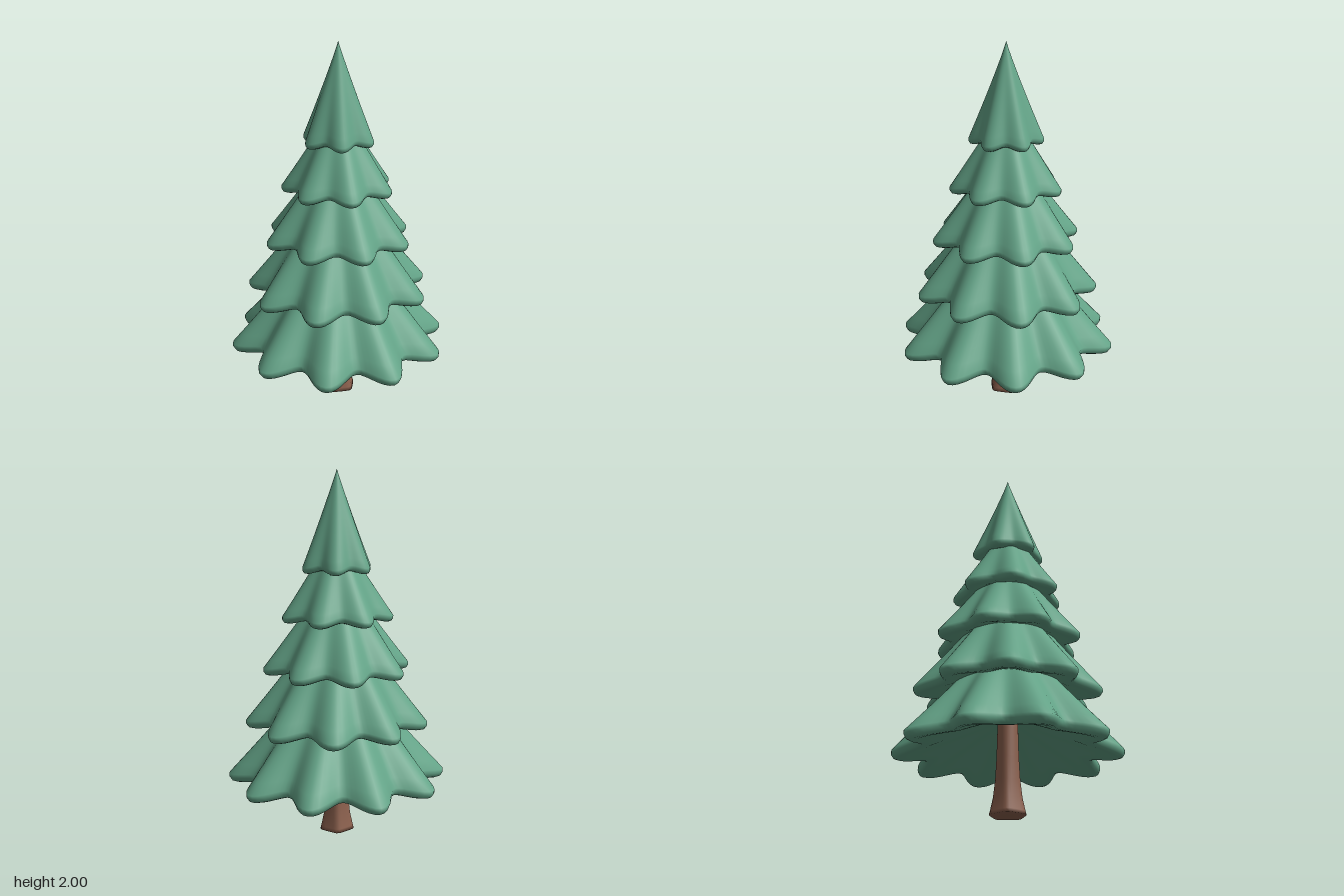
import * as THREE from 'three';

const needles = new THREE.MeshStandardMaterial({ color: 0x64a488 });
needles.name = 'needle green';
const bark = new THREE.MeshStandardMaterial({ color: 0x8c614e });
bark.name = 'bark brown';

// Smooth closed skin through rings listed from top to bottom; point(ring, angle) gives [radius, y]
function loft(rings, segments, point) {
  const pos = [], idx = [];
  rings.forEach((ring, i) => {
    for (let j = 0; j < segments; j++) {
      const a = (j / segments) * Math.PI * 2;
      const [r, y] = point(ring, a);
      pos.push(r * Math.cos(a), y, r * Math.sin(a));
      if (i === rings.length - 1) continue;
      const k = (j + 1) % segments, p = i * segments, q = p + segments;
      idx.push(p + j, p + k, q + j, p + k, q + k, q + j);
    }
  });
  const g = new THREE.BufferGeometry();
  g.setAttribute('position', new THREE.Float32BufferAttribute(pos, 3));
  g.setIndex(idx);
  g.computeVertexNormals();
  return g;
}

// One skirt of branches: a scalloped cone with a rounded lip and a hollow underside
function makeTier({ lobes, radius, hem, top, lip }) {
  const rings = [];
  const edgeY = hem + lip * 0.9;
  // outer slope, flaring a little towards the hem, with ridges that fade upwards
  for (let i = 0; i <= 12; i++) {
    const u = i / 12;
    rings.push({ r: radius * Math.pow(u, 1.09), y: top + (edgeY - top) * u, wave: Math.pow(u, 1.3) });
  }
  // rounded lip
  rings.push({ r: radius, y: hem + lip * 0.5, wave: 1 });
  rings.push({ r: radius - lip * 0.25, y: hem + lip * 0.12, wave: 1 });
  rings.push({ r: radius - lip * 0.7, y: hem, wave: 1 });
  rings.push({ r: radius - lip * 1.4, y: hem + lip * 0.15, wave: 1 });
  // hollow underside
  const innerR = radius - lip * 1.4, rise = radius * 0.34;
  for (const u of [0.85, 0.65, 0.45, 0.25, 0.1, 0]) {
    rings.push({ r: innerR * u, y: hem + lip * 0.15 + rise * (1 - u), wave: u * u });
  }
  return loft(rings, lobes * 14, (ring, a) => {
    const valley = 0.5 - 0.5 * Math.cos(lobes * a);
    const r = ring.r * (1 - 0.21 * valley * ring.wave);
    return [r, ring.y + lip * 0.6 * valley * Math.pow(ring.wave, 3)];
  });
}

// Flared trunk, five-sided at the foot and rounder above
function makeTrunk() {
  const rings = [
    [0, 0.56, 0], [0.052, 0.56, 0], [0.055, 0.45, 0.1], [0.06, 0.3, 0.3], [0.068, 0.18, 0.6],
    [0.08, 0.09, 0.8], [0.097, 0.02, 0.9], [0.103, 0, 0.9], [0, 0, 0.9],
  ];
  const step = (Math.PI * 2) / 5;
  return loft(rings, 30, ([r, y, corner], a) => {
    const b = ((a - Math.PI / 2 + step * 10) % step) - step / 2;
    const side = Math.cos(step / 2) / Math.cos(b);
    return [r * (1 + (side - 1) * corner), y];
  });
}

export function createModel() {
  const tree = new THREE.Group();
  tree.name = 'pineTree';

  const trunk = new THREE.Mesh(makeTrunk(), bark);
  trunk.name = 'trunk';
  tree.add(trunk);

  const tiers = [
    { name: 'bottomBranches', lobes: 10, radius: 0.602, hem: 0.295, top: 1.05, lip: 0.05 },
    { name: 'lowerBranches', lobes: 9, radius: 0.502, hem: 0.612, top: 1.31, lip: 0.046 },
    { name: 'middleBranches', lobes: 8, radius: 0.405, hem: 0.912, top: 1.51, lip: 0.042 },
    { name: 'upperBranches', lobes: 7, radius: 0.305, hem: 1.197, top: 1.71, lip: 0.038 },
    { name: 'topBranches', lobes: 6, radius: 0.2, hem: 1.46, top: 2, lip: 0.034 },
  ];
  for (const tier of tiers) {
    const mesh = new THREE.Mesh(makeTier(tier), needles);
    mesh.name = tier.name;
    tree.add(mesh);
  }
  return tree;
}
